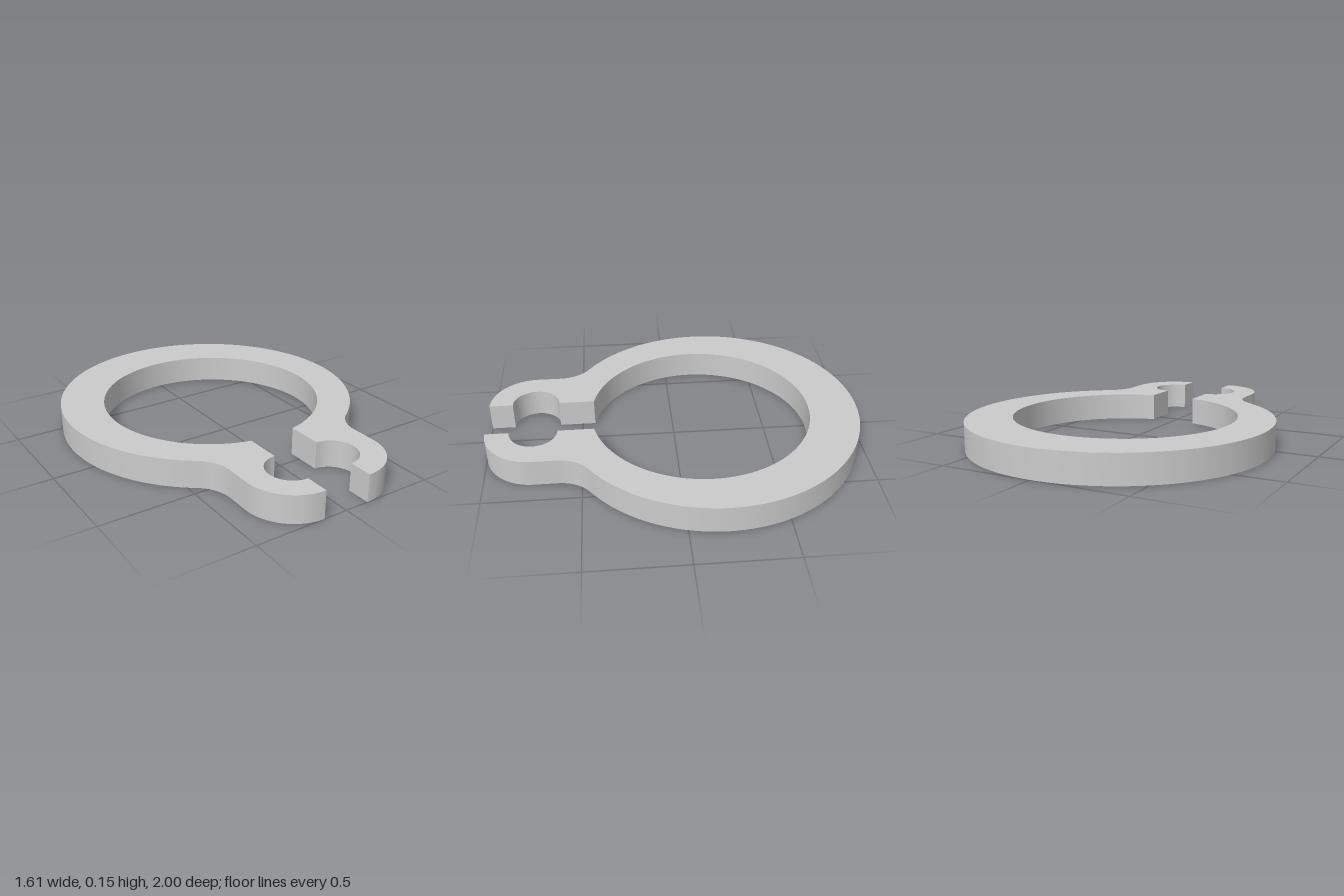
import * as THREE from 'three';
import { toCreasedNormals } from 'three/addons/utils/BufferGeometryUtils.js';

const thickness = 0.147;
const gap = 0.128; // half width of the opening
const outer = { y: 0.197, r: 0.803 };
const inner = { y: 0.145, r: 0.59 }; // eccentric bore: ring is thicker at the back
const lug = { y: -0.748, r: 0.252, hole: 0.126 };
const filletY = -0.62;

// Plan outline, counter-clockwise from the tip of the left lug (shape y = -z)
function ringOutline() {
  const { PI } = Math;
  const side = gap + lug.r;
  // Fillet radius tangent to both the lug's straight side and the outer circle
  const dy = outer.y - filletY;
  const R = (side ** 2 + dy ** 2 - outer.r ** 2) / (2 * (outer.r - side));
  const a = -Math.atan2(dy, side + R); // where the fillet meets the outer circle
  const b = -Math.acos(gap / inner.r); // where the bore meets the gap

  const s = new THREE.Shape();
  s.moveTo(gap, lug.y - lug.r);
  s.absarc(gap, lug.y, lug.r, -PI / 2, 0, false);
  s.absarc(side + R, filletY, R, PI, PI + a, true);
  s.absarc(0, outer.y, outer.r, a, PI - a, false);
  s.absarc(-side - R, filletY, R, -a, 0, true);
  s.absarc(-gap, lug.y, lug.r, PI, 1.5 * PI, false);
  // Back along the inside: half hole, bore, half hole
  s.absarc(-gap, lug.y, lug.hole, 1.5 * PI, PI / 2, true);
  s.absarc(0, inner.y, inner.r, PI - b, b, true);
  s.absarc(gap, lug.y, lug.hole, PI / 2, -PI / 2, true);
  s.closePath();
  return s;
}

export function createModel() {
  const group = new THREE.Group();
  group.name = 'retainingRing';

  const geometry = new THREE.ExtrudeGeometry(ringOutline(), {
    depth: thickness, bevelEnabled: false, curveSegments: 48,
  });
  geometry.rotateX(-Math.PI / 2);

  const ring = new THREE.Mesh(
    toCreasedNormals(geometry, 0.5),
    new THREE.MeshStandardMaterial({ color: 0xcccccc }),
  );
  ring.name = 'ringWithLugs';
  group.add(ring);
  return group;
}
